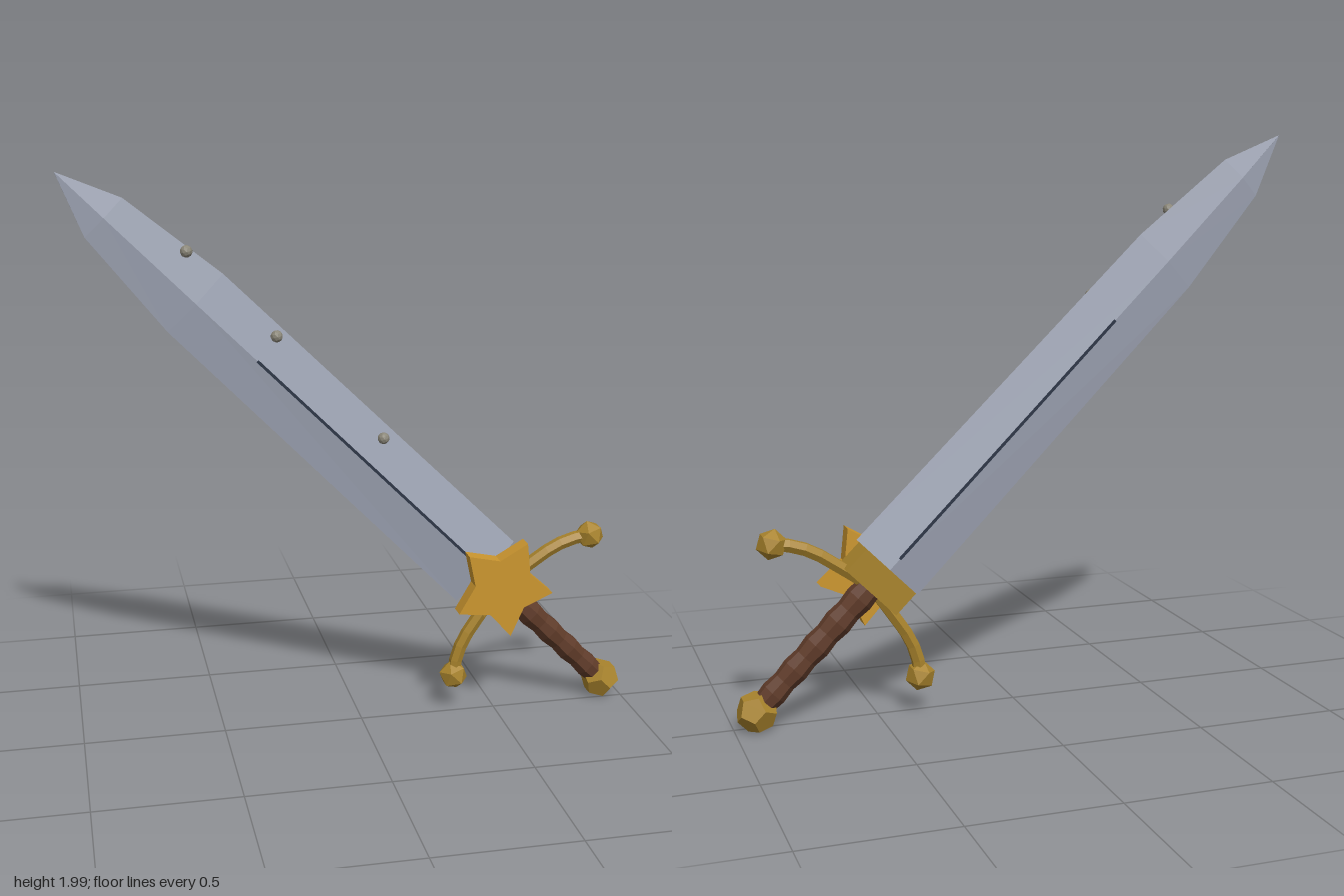
import * as THREE from 'three';

const mat = (name, color, side = THREE.FrontSide) =>
  new THREE.MeshStandardMaterial({ name, color, side, flatShading: true });

// Diamond cross-sections [y, halfWidth, halfThickness], capped at the base
function loftDiamond(sections) {
  const pos = [], idx = [];
  for (const [y, w, t] of sections) pos.push(w, y, 0, 0, y, t, -w, y, 0, 0, y, -t);
  for (let s = 0; s < sections.length - 1; s++) {
    for (let i = 0; i < 4; i++) {
      const a = s * 4 + i, b = s * 4 + (i + 1) % 4;
      idx.push(a, a + 4, b, b, a + 4, b + 4);
    }
  }
  idx.push(0, 1, 2, 0, 2, 3);
  const g = new THREE.BufferGeometry();
  g.setAttribute('position', new THREE.Float32BufferAttribute(pos, 3));
  g.setIndex(idx);
  const flat = g.toNonIndexed();
  flat.computeVertexNormals();
  return flat;
}

export function createModel() {
  const steel = mat('blade steel', 0xa0a6b6, THREE.DoubleSide);
  const groove = mat('dark groove', 0x2c3546);
  const gold = mat('aged gold', 0xa8832c);
  const bright = mat('bright gold', 0xcb962f);
  const leather = mat('brown grip', 0x5f3b29, THREE.DoubleSide);
  const stone = mat('grey stud', 0x8a8678);

  // The sword is built upright along y, then tilted 45 degrees
  const sword = new THREE.Group();
  sword.name = 'sword';
  const add = (name, geo, material, x = 0, y = 0, z = 0) => {
    const m = new THREE.Mesh(geo, material);
    m.name = name;
    m.position.set(x, y, z);
    sword.add(m);
    return m;
  };

  // Blade with a ridge on both faces
  add('blade', loftDiamond([
    [0.05, 0.15, 0.037], [1.5, 0.134, 0.029], [1.91, 0.089, 0.018], [2.121, 0.0005, 0.0005],
  ]), steel);

  // Dark centre line, thinning with the blade
  const line = new THREE.BoxGeometry(0.01, 1.116, 2);
  line.translate(0, 0.658, 0);
  const lp = line.attributes.position;
  for (let i = 0; i < lp.count; i++) {
    lp.setZ(i, Math.sign(lp.getZ(i)) * (0.0392 - 0.0058 * lp.getY(i)));
  }
  line.computeVertexNormals();
  add('bladeGroove', line, groove);

  // Studs along one half of the front face
  for (const [x, y] of [[0.106, 1.647], [0.106, 1.23], [0.102, 0.703]]) {
    add('bladeStud', new THREE.IcosahedronGeometry(0.021, 1), stone, x, y, 0.041);
  }

  // Collar and curved cross-guard
  add('guardBlock', new THREE.BoxGeometry(0.24, 0.1, 0.112), gold);
  for (const s of [1, -1]) {
    const path = new THREE.CatmullRomCurve3([
      [0.04, -0.04], [0.14, -0.058], [0.24, -0.08], [0.31, -0.113], [0.36, -0.15],
    ].map(([x, y]) => new THREE.Vector3(s * x, y, 0)));
    add('guardArm', new THREE.TubeGeometry(path, 6, 0.024, 6), gold);
    add('guardKnob', new THREE.IcosahedronGeometry(0.054, 0), gold, s * 0.36, -0.15, 0);
  }

  // Grip with wavy rings
  const profile = [];
  for (let i = 0; i <= 10; i++) {
    const t = i / 10;
    profile.push(new THREE.Vector2(0.042 + 0.006 * t + (i % 2 ? 0.004 : -0.002), -0.57 + 0.53 * t));
  }
  const grip = add('grip', new THREE.LatheGeometry(profile, 8), leather);
  grip.rotation.y = Math.PI / 8;

  // Pommel
  add('pommel', new THREE.DodecahedronGeometry(0.073, 0), gold, 0, -0.6, 0);

  // Star plate on the front of the guard
  const star = new THREE.Shape();
  for (let i = 0; i < 10; i++) {
    const r = i % 2 ? 0.108 : 0.185, a = Math.PI / 2 + i * Math.PI / 5;
    star[i ? 'lineTo' : 'moveTo'](r * Math.cos(a), r * Math.sin(a));
  }
  star.closePath();
  add('starPlate', new THREE.ExtrudeGeometry(star, { depth: 0.06, bevelEnabled: false }),
    bright, 0.006, 0, 0.053);

  sword.rotation.z = Math.PI / 4;
  sword.position.set(0.5, 0.5, -0.027);
  const root = new THREE.Group();
  root.name = 'swordModel';
  root.add(sword);
  return root;
}
